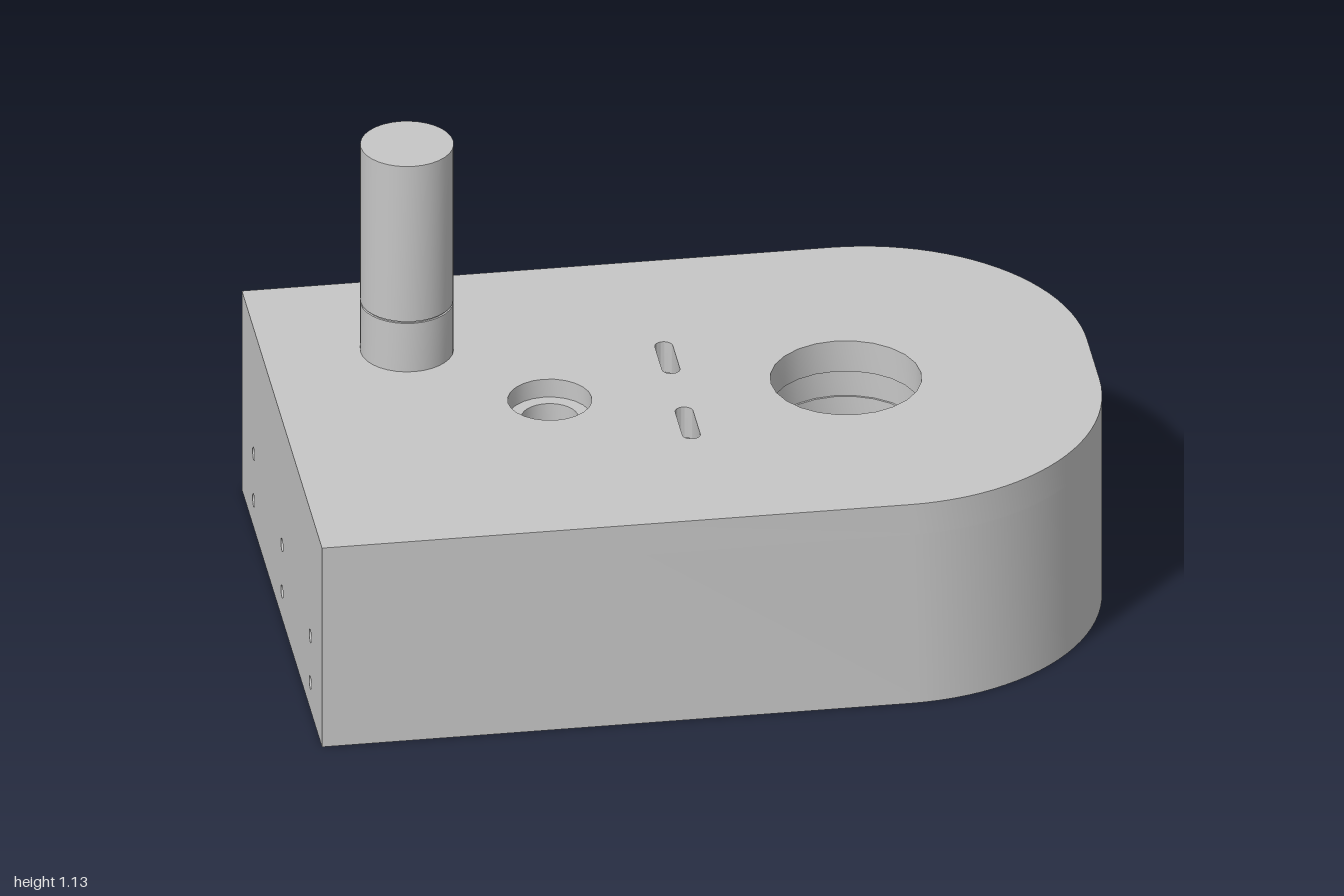
import * as THREE from 'three';
import { toCreasedNormals } from 'three/addons/utils/BufferGeometryUtils.js';

const HEIGHT = 0.555, CEILING = 0.47, HALF = 0.65, WALL = 0.065;
const CORNER = 0.55, ARC_X = 1 - CORNER, ARC_Z = HALF - CORNER;
const HOLE_X = 0.39, HUB_X = -0.34, COLLAR_Y = 0.33;

export function createModel() {
  const model = new THREE.Group();
  const grey = new THREE.MeshStandardMaterial({ color: 0xc6c6c6 });
  grey.name = 'grey';

  function add(name, geometry, parent = model) {
    const mesh = new THREE.Mesh(toCreasedNormals(geometry, 0.5), grey);
    mesh.name = name;
    parent.add(mesh);
    return mesh;
  }
  const circle = (x, y, r) => new THREE.Path().absarc(x, y, r, 0, Math.PI * 2, true);
  const disc = (x, y, r) => new THREE.Shape().absarc(x, y, r, 0, Math.PI * 2, false);

  // Extrudes a plan shape (x, -z) upwards from y0 to y1
  function plan(shape, y0, y1, curveSegments = 12) {
    const g = new THREE.ExtrudeGeometry(shape, { depth: y1 - y0, bevelEnabled: false, curveSegments });
    return g.rotateX(-Math.PI / 2).translate(0, y0, 0);
  }
  function ring(x, y, outer, inner) {
    const s = disc(x, y, outer);
    s.holes.push(circle(x, y, inner));
    return s;
  }

  // Top plate with bore, counterbore and two slots
  const top = new THREE.Shape();
  top.moveTo(-1, -HALF);
  top.lineTo(ARC_X, -HALF);
  top.absarc(ARC_X, -ARC_Z, CORNER, -Math.PI / 2, 0, false);
  top.absarc(ARC_X, ARC_Z, CORNER, 0, Math.PI / 2, false);
  top.lineTo(-1, HALF);
  top.closePath();
  top.holes.push(circle(HOLE_X, 0, 0.185), circle(HUB_X, 0, 0.103));
  for (const s of [-1, 1]) {
    const slot = new THREE.Path();
    slot.absarc(-0.025, s * 0.165 + 0.058, 0.022, 0, Math.PI, false);
    slot.absarc(-0.025, s * 0.165 - 0.058, 0.022, Math.PI, Math.PI * 2, false);
    slot.closePath();
    top.holes.push(slot);
  }
  add('topPlate', plan(top, CEILING, HEIGHT));

  // U-shaped side wall
  const inner = HALF - WALL, innerCorner = CORNER - WALL;
  const side = new THREE.Shape();
  side.moveTo(-1 + WALL, -HALF);
  side.lineTo(ARC_X, -HALF);
  side.absarc(ARC_X, -ARC_Z, CORNER, -Math.PI / 2, 0, false);
  side.absarc(ARC_X, ARC_Z, CORNER, 0, Math.PI / 2, false);
  side.lineTo(-1 + WALL, HALF);
  side.lineTo(-1 + WALL, inner);
  side.lineTo(ARC_X, inner);
  side.absarc(ARC_X, ARC_Z, innerCorner, Math.PI / 2, 0, true);
  side.absarc(ARC_X, -ARC_Z, innerCorner, 0, -Math.PI / 2, true);
  side.lineTo(-1 + WALL, -inner);
  side.closePath();
  add('sideWall', plan(side, 0, CEILING));

  // Flat end wall with six mounting holes
  const end = new THREE.Shape();
  end.moveTo(-HALF, 0);
  end.lineTo(HALF, 0);
  end.lineTo(HALF, CEILING);
  end.lineTo(-HALF, CEILING);
  end.closePath();
  for (const z of [-0.46, 0, 0.46]) for (const y of [0.075, 0.205]) end.holes.push(circle(z, y, 0.017));
  const endGeometry = new THREE.ExtrudeGeometry(end, { depth: WALL, bevelEnabled: false, curveSegments: 8 });
  add('endWall', endGeometry.rotateY(Math.PI / 2).translate(-1, 0, 0));

  // Screw posts with small nut tabs facing inwards
  const posts = [[-0.82, 0.55], [-0.9, 0.215], [-0.29, 0.55], [0.21, 0.55], [0.61, 0.535], [0.885, 0.22]];
  for (const [x, z] of posts) for (const s of [-1, 1]) {
    const post = new THREE.Group();
    post.name = 'screwPost';
    post.position.set(x, 0, z * s);
    add('postTube', plan(ring(0, 0, 0.056, 0.02), 0, CEILING), post);
    const alongX = Math.abs(x) > 0.85;
    const tab = add('nutTab', new THREE.BoxGeometry(0.035, 0.02, 0.035), post);
    tab.position.set(alongX ? -Math.sign(x) * 0.048 : 0, 0.11, alongX ? 0 : -s * 0.048);
    model.add(post);
  }

  // Collar under the large bore, in two rings, with five radial ribs
  add('boreCollar', plan(ring(HOLE_X, 0, 0.23, 0.19), 0.4, CEILING));
  add('boreLip', plan(ring(HOLE_X, 0, 0.23, 0.185), COLLAR_Y, 0.4));
  const ribs = [[0, 0.53], [70, 0.53], [-70, 0.53], [138, 0.66], [-138, 0.66]];
  for (const [degrees, reach] of ribs) {
    const a = THREE.MathUtils.degToRad(degrees);
    const r = (0.21 + reach) / 2;
    const rib = add('rib', new THREE.BoxGeometry(reach - 0.21, CEILING - COLLAR_Y, 0.06));
    rib.position.set(HOLE_X + Math.cos(a) * r, (CEILING + COLLAR_Y) / 2, Math.sin(a) * r);
    rib.rotation.y = -a;
  }

  // Bearing seat, toothed pulley and hub on the small bore
  add('bearingSeat', plan(ring(HUB_X, 0, 0.135, 0.07), 0.39, 0.505, 20));
  const pulley = new THREE.Shape();
  const teeth = 36;
  for (let i = 0; i < teeth * 4; i++) {
    const a = (i / (teeth * 4)) * Math.PI * 2;
    const r = i % 4 < 2 ? 0.19 : 0.175;
    const x = HUB_X + Math.cos(a) * r, y = Math.sin(a) * r;
    if (i === 0) pulley.moveTo(x, y);
    else pulley.lineTo(x, y);
  }
  pulley.closePath();
  pulley.holes.push(circle(HUB_X, 0, 0.038));
  add('pulley', plan(pulley, 0.27, 0.39));
  add('pulleyHub', plan(ring(HUB_X, 0, 0.077, 0.038), 0.2, 0.27, 16));

  // Motor: gearbox, narrow groove and can
  const motor = new THREE.Group();
  motor.name = 'motor';
  motor.position.set(-0.646, 0, -0.302);
  const parts = [['gearbox', 0.114, HEIGHT, 0.69], ['groove', 0.109, 0.69, 0.695], ['can', 0.114, 0.695, 1.128]];
  for (const [name, r, y0, y1] of parts) {
    add(name, new THREE.CylinderGeometry(r, r, y1 - y0, 32).translate(0, (y0 + y1) / 2, 0), motor);
  }
  model.add(motor);
  return model;
}
